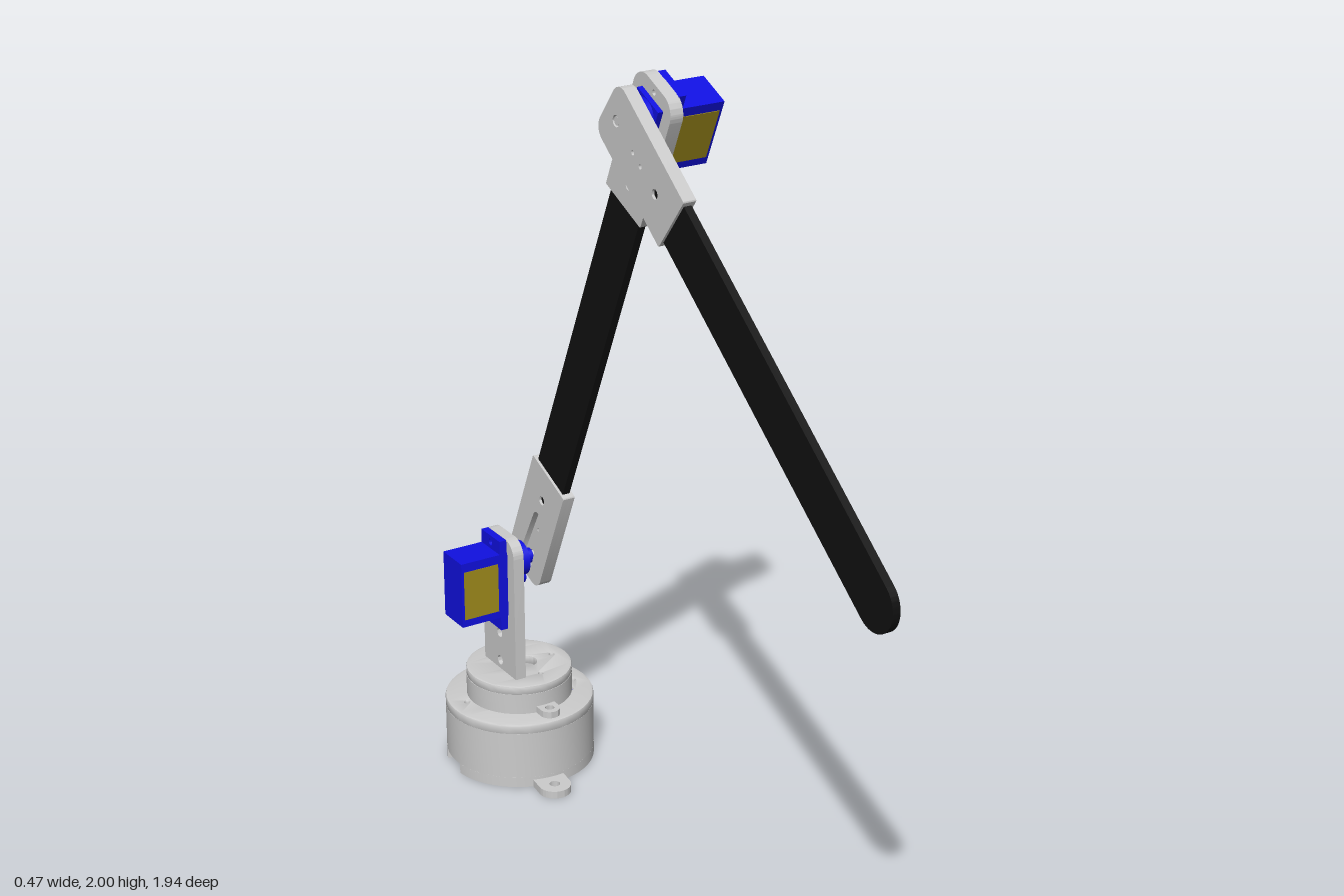
import * as THREE from 'three';
import { toCreasedNormals } from 'three/addons/utils/BufferGeometryUtils.js';

const grey = new THREE.MeshStandardMaterial({ color: 0xcccccc });
const blue = new THREE.MeshStandardMaterial({ color: 0x1010e0 });
const olive = new THREE.MeshStandardMaterial({ color: 0xa08c1c });
const black = new THREE.MeshStandardMaterial({ color: 0x101010 });

function add(parent, name, geometry, material, x = 0, y = 0, z = 0) {
  const mesh = new THREE.Mesh(geometry, material);
  mesh.name = name;
  mesh.position.set(x, y, z);
  parent.add(mesh);
  return mesh;
}

const circle = (x, y, r) => new THREE.Path().absarc(x, y, r, 0, Math.PI * 2, true);

// Rectangle from (-w, y0) to (w, y1) with separate bottom and top corner radii
function slab(w, y0, y1, r0, r1, holes = []) {
  const s = new THREE.Shape();
  s.moveTo(-w + r0, y0).lineTo(w - r0, y0);
  if (r0) s.absarc(w - r0, y0 + r0, r0, -Math.PI / 2, 0);
  s.lineTo(w, y1 - r1);
  if (r1) s.absarc(w - r1, y1 - r1, r1, 0, Math.PI / 2);
  s.lineTo(-w + r1, y1);
  if (r1) s.absarc(-w + r1, y1 - r1, r1, Math.PI / 2, Math.PI);
  s.lineTo(-w, y0 + r0);
  if (r0) s.absarc(-w + r0, y0 + r0, r0, Math.PI, Math.PI * 1.5);
  s.holes.push(...holes);
  return s;
}

function extrude(shape, depth, bevel = 0) {
  const g = new THREE.ExtrudeGeometry(shape, {
    depth: depth - bevel, curveSegments: 24, bevelEnabled: bevel > 0,
    bevelSize: bevel, bevelThickness: bevel, bevelOffset: -bevel, bevelSegments: 2,
  });
  return toCreasedNormals(g, 0.6);
}
// Upright sheet: thickness along x from x0, outline in the y-z plane
const upright = (shape, x0, depth) => extrude(shape, depth).rotateY(Math.PI / 2).translate(x0, 0, 0);
// Lying sheet: thickness along y from 0
const lying = (shape, depth, bevel) => extrude(shape, depth, bevel).rotateX(-Math.PI / 2);

function arcRing(outer, inner, a0, a1, height) {
  const s = new THREE.Shape();
  s.absarc(0, 0, outer, a0, a1, false);
  s.absarc(0, 0, inner, a1, a0, true);
  return lying(s, height);
}

function disc(r, holes) {
  const s = new THREE.Shape().absarc(0, 0, r, 0, Math.PI * 2, false);
  s.holes.push(...holes);
  return s;
}

// Servo: shaft along +x at the origin, long side towards -y
function servo(name) {
  const g = new THREE.Group();
  g.name = name;
  add(g, 'servoBody', new THREE.BoxGeometry(0.178, 0.18, 0.096), blue, -0.06, -0.043, 0);
  const flange = slab(0.048, -0.17, 0.084, 0, 0, [circle(0, 0.065, 0.009), circle(0, -0.151, 0.009)]);
  add(g, 'servoFlange', upright(flange, -0.036, 0.02), blue);
  const shaft = (n, r, x0, x1, y) =>
    add(g, n, new THREE.CylinderGeometry(r, r, x1 - x0, 28).rotateZ(-Math.PI / 2), blue, (x0 + x1) / 2, y, 0);
  shaft('gearHousing', 0.046, 0.02, 0.056, 0);
  shaft('smallGearHousing', 0.022, 0.02, 0.056, -0.05);
  shaft('outputShaft', 0.02, 0.05, 0.08, 0);
  for (const side of [-1, 1])
    add(g, 'servoLabel', new THREE.BoxGeometry(0.1, 0.135, 0.002), olive, -0.092, -0.045, side * 0.0485);
  return g;
}

// Plate with a window that holds a servo
function servoPlate(parent, name, bottom, radius, holes, t) {
  const window = new THREE.Path();
  window.moveTo(-0.05, -0.135).lineTo(-0.05, 0.049).lineTo(0.05, 0.049).lineTo(0.05, -0.135).closePath();
  const screws = [circle(0, 0.065, 0.007), circle(0, -0.151, 0.007)];
  const shape = slab(0.083, bottom, 0.084, radius, 0.045, [window, ...screws, ...holes]);
  return add(parent, name, upright(shape, -t / 2, t), grey);
}

// Plate driven by a servo: drilled outer layer and inner layer with a slot for the horn
function hornPlate(parent, name, hornSide) {
  const t = 0.017;
  const drill = circle(0, 0.207, 0.012);
  const outer = slab(0.083, -0.05, 0.293, 0.035, 0.004,
    [circle(0, 0, 0.014), circle(0, 0.09, 0.006), circle(0, 0.13, 0.006), drill]);
  const slot = new THREE.Path();
  slot.absarc(0, 0, 0.03, Math.PI, Math.PI * 2, false);
  slot.absarc(0, 0.14, 0.018, 0, Math.PI, false);
  slot.closePath();
  const inner = slab(0.083, -0.05, 0.293, 0.035, 0.004, [slot, drill]);
  add(parent, name + 'Outer', upright(outer, hornSide < 0 ? 0 : -t, t), grey);
  add(parent, name + 'Inner', upright(inner, hornSide < 0 ? -t : 0, t), grey);
  const screw = new THREE.CylinderGeometry(0.011, 0.011, 0.03, 16).rotateZ(Math.PI / 2);
  add(parent, name + 'Screw', screw, grey);
}

const stick = (parent, name, y0, y1, r1) =>
  add(parent, name, upright(slab(0.067, y0, y1, 0, r1), -0.01, 0.02), black);

export function createModel() {
  const model = new THREE.Group();
  model.name = 'robotArm';

  // Base cup with a cable notch on each side
  const base = new THREE.Group();
  base.name = 'base';
  base.position.set(-0.045, 0, -0.69);
  model.add(base);
  const notch = 0.23;
  for (const a of [0, Math.PI])
    add(base, 'baseLowerWall', arcRing(0.197, 0.175, a + notch, a + Math.PI - notch, 0.028), grey);
  add(base, 'baseWall', lying(disc(0.197, [circle(0, 0, 0.175)]), 0.13), grey, 0, 0.028, 0);
  const servoWindow = new THREE.Path();
  servoWindow.moveTo(-0.049, -0.05).lineTo(-0.049, 0.05).lineTo(0.135, 0.05).lineTo(0.135, -0.05).closePath();
  const lid = disc(0.197, [servoWindow, circle(-0.15, 0, 0.007), circle(0.155, 0, 0.007)]);
  add(base, 'baseLid', lying(lid, 0.024, 0.005), grey, 0, 0.159, 0);

  // Screw ears, and posts for the base servo
  for (const side of [-1, 1]) {
    const ear = slab(0.043, 0.18, 0.278, 0, 0.043, [circle(0, 0.235, 0.014)]);
    const mesh = add(base, 'baseEar', lying(ear, 0.02), grey);
    mesh.rotation.y = side > 0 ? 0 : Math.PI;
    add(base, 'servoPost', new THREE.BoxGeometry(0.032, 0.03, 0.09), grey, 0.043 + side * 0.11, 0.148, 0);
  }
  const baseServo = servo('baseServo');
  baseServo.rotation.z = Math.PI / 2;
  baseServo.position.y = 0.151;
  base.add(baseServo);

  // Everything above turns with the turntable
  const arm = new THREE.Group();
  arm.name = 'arm';
  arm.rotation.y = 0.127;
  base.add(arm);
  add(arm, 'turntableWall', lying(disc(0.14, [circle(0, 0, 0.12)]), 0.056), grey, 0, 0.187, 0);
  const top = disc(0.14, [circle(0.02, 0, 0.03), circle(0.1, 0, 0.007), circle(0.02, 0.08, 0.006), circle(0.02, -0.08, 0.006)]);
  add(arm, 'turntableTop', lying(top, 0.02, 0.004), grey, 0, 0.246, 0);
  for (const side of [-1, 1]) {
    const tab = slab(0.027, 0.13, 0.188, 0, 0.027, [circle(0, 0.161, 0.012)]);
    add(arm, 'turntableTab', lying(tab, 0.018), grey, 0, 0.187, 0).rotation.y = side > 0 ? 0 : Math.PI;
  }

  // Shoulder
  const shoulder = new THREE.Group();
  shoulder.name = 'shoulder';
  shoulder.position.set(-0.041, 0.573, 0);
  arm.add(shoulder);
  servoPlate(shoulder, 'shoulderPlate', -0.315, 0,
    [circle(0, -0.202, 0.013), circle(0, -0.283, 0.013)], 0.03);
  shoulder.add(servo('shoulderServo'));

  // Upper arm
  const upperArm = new THREE.Group();
  upperArm.name = 'upperArm';
  upperArm.position.set(0.087, 0, 0);
  upperArm.rotation.x = 0.42;
  shoulder.add(upperArm);
  hornPlate(upperArm, 'upperArmPlate', -1);
  stick(upperArm, 'upperArmStick', 0.19, 1.27, 0);

  // Elbow
  const elbow = new THREE.Group();
  elbow.name = 'elbow';
  elbow.position.y = 1.46;
  upperArm.add(elbow);
  servoPlate(elbow, 'elbowPlate', -0.265, 0.004, [circle(0, -0.205, 0.012)], 0.034);
  const elbowServo = servo('elbowServo');
  elbowServo.rotation.y = Math.PI;
  elbow.add(elbowServo);

  // Forearm
  const forearm = new THREE.Group();
  forearm.name = 'forearm';
  forearm.position.x = -0.084;
  forearm.rotation.x = 2.232 - 0.42;
  elbow.add(forearm);
  hornPlate(forearm, 'forearmPlate', 1);
  stick(forearm, 'forearmStick', 0.19, 1.345, 0.067);

  return model;
}
